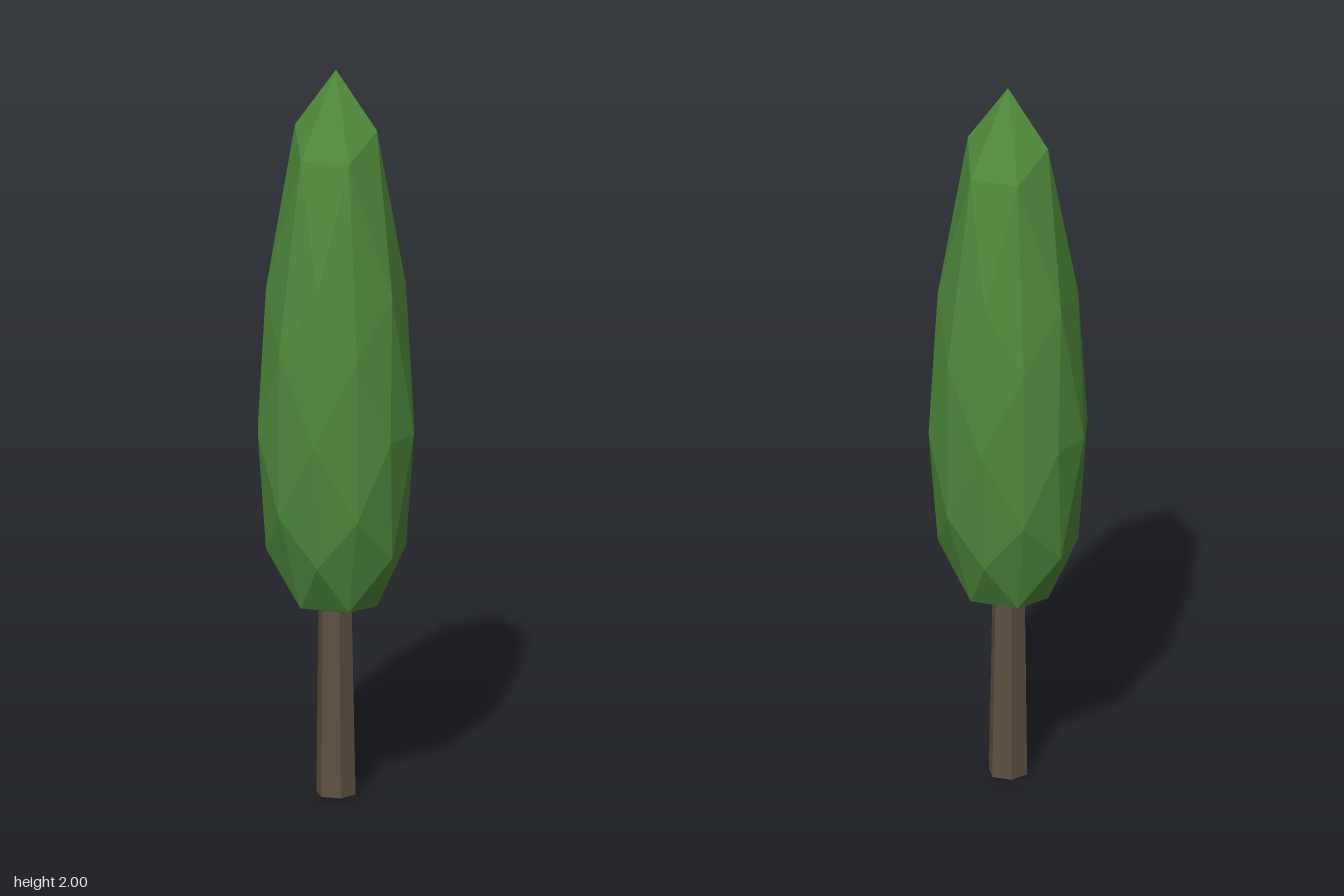
import * as THREE from 'three';

// Height of the crown for each level of a unit sphere: [level, height]
const LEVELS = [
  [-1, 0.5], [-0.851, 0.525], [-0.809, 0.535], [-0.526, 0.67], [-0.5, 0.68],
  [-0.309, 0.8], [0, 1.01], [0.309, 1.245], [0.5, 1.4], [0.526, 1.43],
  [0.809, 1.77], [0.851, 1.84], [1, 2],
];

function crownHeight(level) {
  let i = 1;
  while (i < LEVELS.length - 1 && level > LEVELS[i][0]) i++;
  const [a, ya] = LEVELS[i - 1];
  const [b, yb] = LEVELS[i];
  return THREE.MathUtils.mapLinear(level, a, b, ya, yb);
}

function part(name, geometry, color) {
  geometry.computeVertexNormals();
  const mesh = new THREE.Mesh(geometry, new THREE.MeshStandardMaterial({ color, flatShading: true }));
  mesh.name = name;
  return mesh;
}

export function createModel() {
  const tree = new THREE.Group();
  tree.name = 'tree';

  // Crown: a faceted sphere stretched into a tall, pointed shape
  const crown = new THREE.IcosahedronGeometry(1, 1);
  const c = crown.attributes.position;
  for (let i = 0; i < c.count; i++) {
    c.setXYZ(i, c.getX(i) * 0.215, crownHeight(c.getY(i)), c.getZ(i) * 0.215);
  }
  tree.add(part('crown', crown, 0x4f8a3c));

  // Trunk: six-sided, tapered and leaning slightly to the back right
  const height = 0.56;
  const trunk = new THREE.CylinderGeometry(0.045, 0.054, height, 6, 1, false, Math.PI / 6);
  trunk.translate(0, height / 2, 0);
  const t = trunk.attributes.position;
  for (let i = 0; i < t.count; i++) {
    const k = t.getY(i) / height;
    t.setX(i, t.getX(i) - 0.005 * k);
    t.setZ(i, t.getZ(i) - 0.008 * k);
  }
  tree.add(part('trunk', trunk, 0x5f5042));

  return tree;
}
